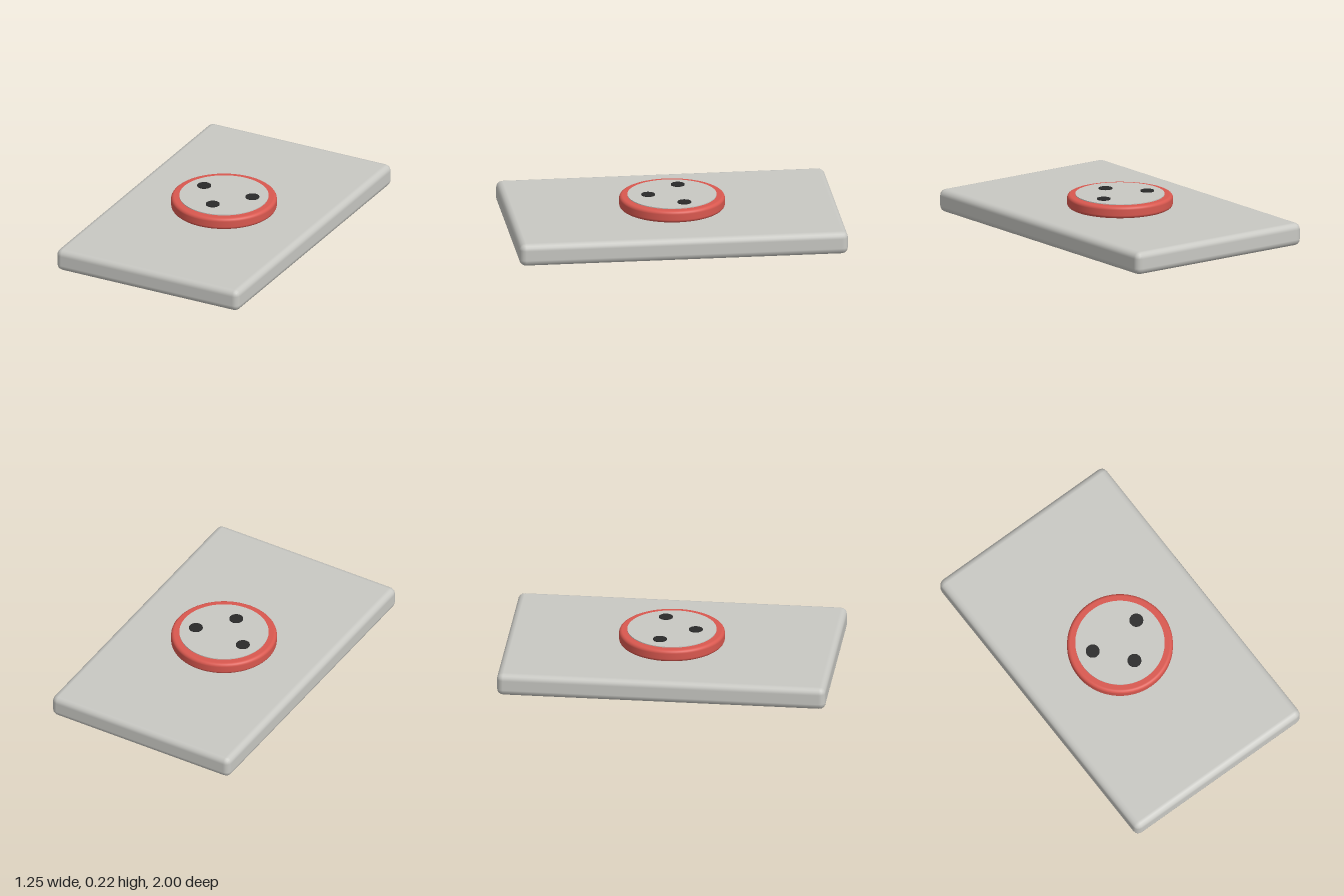
import * as THREE from 'three';
import { RoundedBoxGeometry } from 'three/addons/geometries/RoundedBoxGeometry.js';

export function createModel() {
  const model = new THREE.Group();
  model.name = 'wallSocket';

  const grey = new THREE.MeshStandardMaterial({ name: 'light grey', color: 0xc8c8c3 });
  const red = new THREE.MeshStandardMaterial({ name: 'red', color: 0xd9584f });
  const black = new THREE.MeshStandardMaterial({ name: 'black', color: 0x2a2a2a });

  const add = (name, geometry, material, x, y, z) => {
    const mesh = new THREE.Mesh(geometry, material);
    mesh.name = name;
    mesh.position.set(x, y, z);
    model.add(mesh);
  };

  // Cover plate with softly rounded edges
  add('coverPlate', new RoundedBoxGeometry(1.25, 0.14, 2, 2, 0.04), grey, 0, 0.07, 0);

  // Raised collar: a disc whose upper and lower rims are rounded
  const R = 0.32, H = 0.074, r = 0.02;
  const profile = new THREE.Path();
  profile.moveTo(0, 0);
  profile.lineTo(R - r, 0);
  profile.absarc(R - r, r, r, -Math.PI / 2, 0, false);
  profile.lineTo(R, H - r);
  profile.absarc(R - r, H - r, r, 0, Math.PI / 2, false);
  profile.lineTo(0, H);
  add('collar', new THREE.LatheGeometry(profile.getPoints(4), 64), red, 0, 0.139, 0);

  // Thin face disc on the collar
  add('socketFace', new THREE.CylinderGeometry(0.27, 0.27, 0.006, 64), grey, 0, 0.215, 0);

  // Three pin holes
  for (const [name, x, z] of [
    ['leftPinHole', 0.165, -0.055],
    ['rightPinHole', -0.165, -0.055],
    ['frontPinHole', 0, 0.145],
  ]) {
    add(name, new THREE.CylinderGeometry(0.042, 0.042, 0.006, 32), black, x, 0.22, z);
  }

  return model;
}
